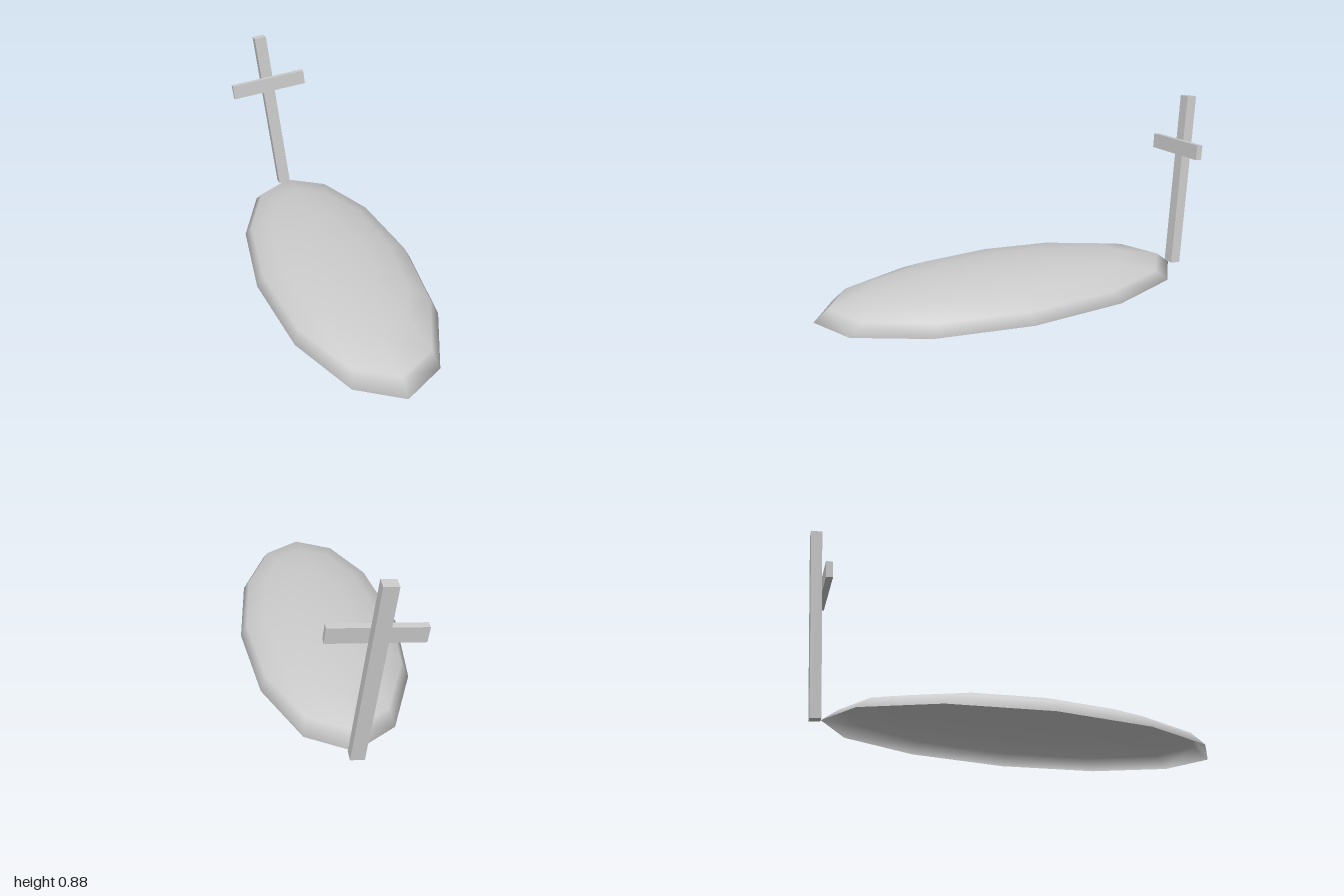
import * as THREE from 'three';

export function createModel() {
  const model = new THREE.Group();
  model.name = 'graveMoundWithCross';

  const grey = new THREE.MeshStandardMaterial({ color: 0xcccccc, side: THREE.DoubleSide });
  grey.name = 'plain grey';

  // Long, open-bottomed mound: a coarse half sphere stretched along z
  const moundGeometry = new THREE.SphereGeometry(1, 12, 4, 0, Math.PI * 2, 0, Math.PI / 2);
  moundGeometry.scale(0.4, 0.148, 0.93);
  const mound = new THREE.Mesh(moundGeometry, grey);
  mound.name = 'mound';
  mound.position.set(0, 0.007, 0.07);
  model.add(mound);

  // Crooked wooden cross, leaning back and to one side
  const cross = new THREE.Group();
  cross.name = 'cross';
  cross.position.set(-0.043, 0.441, -0.928);
  cross.rotation.set(-0.1, 0, 0.1);
  model.add(cross);

  const addBeam = (name, size, y, z) => {
    const beam = new THREE.Mesh(new THREE.BoxGeometry(...size), grey);
    beam.name = name;
    beam.position.set(0, y, z);
    cross.add(beam);
  };
  addBeam('post', [0.063, 0.877, 0.05], 0, 0);
  // Crossbar lies on the front face of the post
  addBeam('crossbar', [0.404, 0.0735, 0.03], 0.178, 0.04);

  return model;
}
